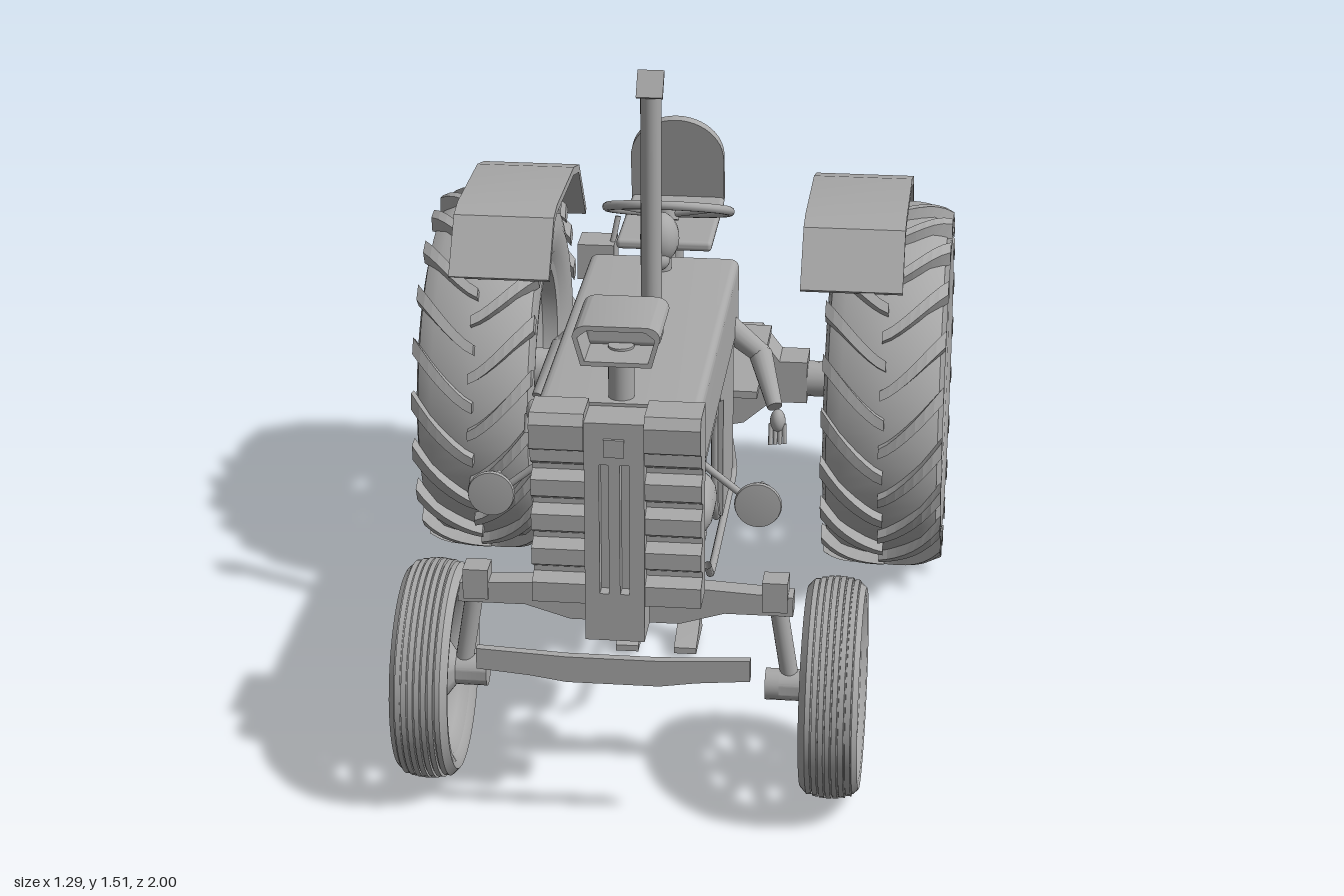
import * as THREE from 'three';
import { mergeGeometries, toCreasedNormals } from 'three/addons/utils/BufferGeometryUtils.js';
import { RoundedBoxGeometry } from 'three/addons/geometries/RoundedBoxGeometry.js';

const grey = new THREE.MeshStandardMaterial({ color: 0xa8a8a8, side: THREE.DoubleSide });
grey.name = 'grey';

const V = (p) => new THREE.Vector3(...p);
function add(parent, name, geo, pos = [0, 0, 0], rot = [0, 0, 0]) {
  const m = new THREE.Mesh(geo, grey);
  m.name = name;
  m.position.set(...pos);
  m.rotation.set(...rot);
  parent.add(m);
  return m;
}
function group(parent, name, pos = [0, 0, 0]) {
  const g = new THREE.Group();
  g.name = name;
  g.position.set(...pos);
  parent.add(g);
  return g;
}
// box given by its ranges on each axis
const box = (p, name, x, y, z) => add(p, name, new THREE.BoxGeometry(x[1] - x[0], y[1] - y[0], z[1] - z[0]),
  [(x[0] + x[1]) / 2, (y[0] + y[1]) / 2, (z[0] + z[1]) / 2]);
// cylinder or cone between two points
function rod(p, name, a, b, r1, r2 = r1, seg = 16) {
  const d = V(b).sub(V(a));
  const m = add(p, name, new THREE.CylinderGeometry(r2, r1, d.length(), seg), V(a).addScaledVector(d, 0.5).toArray());
  m.quaternion.setFromUnitVectors(new THREE.Vector3(0, 1, 0), d.normalize());
  return m;
}
const pipe = (p, name, pts, r) => add(p, name,
  new THREE.TubeGeometry(new THREE.CatmullRomCurve3(pts.map(V), false, 'catmullrom', 0.15), 40, r, 8));
const poly = (pts) => new THREE.Shape(pts.map(([x, y]) => new THREE.Vector2(x, y)));
const extrude = (shape, depth) => toCreasedNormals(
  new THREE.ExtrudeGeometry(shape, { depth, bevelEnabled: false, curveSegments: 12 }), 0.6);
// side profile of (z, y) points swept across x
const sweepX = (p, name, pts, x0, x1) => add(p, name, extrude(poly(pts), x1 - x0).rotateY(-Math.PI / 2), [x1, 0, 0]);
// profile of (radius, x) points spun about the x axis
const spin = (pts, seg = 48) => toCreasedNormals(
  new THREE.LatheGeometry(pts.map(([r, x]) => new THREE.Vector2(r, x)), seg).rotateZ(-Math.PI / 2), 0.7);
// flat wheel disc with window openings between the spokes
function spokedDisc(outer, rim, hub, n, depth, spoke) {
  const s = new THREE.Shape().absarc(0, 0, outer, 0, Math.PI * 2);
  for (let i = 0; i < n; i++) {
    const a = (i / n) * Math.PI * 2, w = Math.PI / n, h = new THREE.Path();
    h.absarc(0, 0, rim, a - w + spoke / rim, a + w - spoke / rim, false);
    h.absarc(0, 0, hub, a + w - spoke / hub, a - w + spoke / hub, true);
    h.closePath();
    s.holes.push(h);
  }
  return extrude(s, depth).rotateY(Math.PI / 2);
}

// curved tread bars of the big tyres
function treadLugs() {
  const list = [], n = 20;
  for (const side of [1, -1]) for (let i = 0; i < n; i++) {
    const g = new THREE.BoxGeometry(1, 1, 1, 7, 1, 1), p = g.attributes.position;
    const phase = ((i + (side > 0 ? 0 : 0.5)) / n) * Math.PI * 2;
    for (let k = 0; k < p.count; k++) {
      const t = 0.5 + side * p.getX(k);
      const r = p.getY(k) > 0 ? 0.46 - 0.025 * t ** 4 : 0.425 - 0.03 * t ** 3;
      const a = phase - 0.33 * t ** 1.3 + p.getZ(k) * (0.055 + 0.04 * t);
      p.setXYZ(k, side * (-0.006 + 0.153 * t), r * Math.cos(a), r * Math.sin(a));
    }
    const flat = g.toNonIndexed();
    flat.computeVertexNormals();
    list.push(flat);
  }
  return mergeGeometries(list);
}

function rearWheel(root, s, lugs) {
  const w = group(root, s > 0 ? 'rearWheelLeft' : 'rearWheelRight', [s * 0.5, 0.46, -0.54]);
  add(w, 'rearTyre', spin([[0.268, -0.115], [0.3, -0.138], [0.36, -0.146], [0.405, -0.135], [0.428, -0.1], [0.436, 0],
    [0.428, 0.1], [0.405, 0.135], [0.36, 0.146], [0.3, 0.138], [0.268, 0.115]], 64));
  add(w, 'treadLugs', lugs);
  const rim = group(w, 'rearRim');
  rim.rotation.y = s > 0 ? 0 : Math.PI;
  add(rim, 'rimBarrel', spin([[0.285, -0.125], [0.262, -0.118], [0.255, -0.08], [0.225, -0.06], [0.212, 0],
    [0.225, 0.055], [0.255, 0.075], [0.262, 0.118], [0.285, 0.125]]));
  add(rim, 'rimDisc', spokedDisc(0.215, 0.142, 0.085, 6, 0.022, 0.016), [-0.02, 0, 0]);
  add(rim, 'discRing', spin([[0.185, 0], [0.185, 0.025], [0.15, 0.03], [0.142, 0]]));
  add(rim, 'rearHub', spin([[0, -0.15], [0.05, -0.15], [0.06, -0.02], [0.085, -0.02], [0.085, 0.02], [0.05, 0.03],
    [0.045, 0.06], [0, 0.06]], 24));
  for (let i = 0; i < 6; i++) {
    const a = (i / 6) * Math.PI * 2;
    rod(rim, 'wheelBolt', [0.015, Math.cos(a) * 0.068, Math.sin(a) * 0.068], [0.033, Math.cos(a) * 0.068, Math.sin(a) * 0.068], 0.009, 0.009, 6);
  }
}

function frontWheel(root, s) {
  const w = group(root, s > 0 ? 'frontWheelLeft' : 'frontWheelRight', [s * 0.445, 0.263, 0.758]);
  w.rotation.y = s > 0 ? 0 : Math.PI;
  // ribbed tread
  const tread = [];
  for (let i = -3; i <= 3; i++) {
    const x = i * 0.0145, r = 0.245 - 0.0008 * i * i;
    tread.push([r, x - 0.0055], [r, x + 0.0055], [r - 0.005, x + 0.006], [r - 0.005, x + 0.0085]);
  }
  add(w, 'frontTyre', spin([[0.19, -0.05], [0.205, -0.062], [0.222, -0.064], ...tread,
    [0.222, 0.064], [0.205, 0.062], [0.19, 0.05]], 56));
  add(w, 'frontRim', spin([[0.2, -0.052], [0.188, -0.05], [0.168, -0.03], [0.162, 0], [0.168, 0.025], [0.188, 0.05], [0.2, 0.052]]));
  add(w, 'frontSpokes', spokedDisc(0.168, 0.158, 0.075, 8, 0.022, 0.014), [0.0, 0, 0]);
  add(w, 'frontHub', spin([[0, -0.12], [0.035, -0.12], [0.035, -0.05], [0.075, -0.02], [0.08, 0.035], [0.068, 0.043], [0, 0.045]], 24));
}

function addMannequin(root) {
  const m = group(root, 'mannequin', [-0.018, 0, 0]);
  const ball = (name, p, r, sc = [1, 1, 1]) => add(m, name, new THREE.SphereGeometry(r, 20, 14), p).scale.set(...sc);
  ball('head', [0, 1.045, 0.055], 0.056, [0.82, 1.08, 0.95]);
  ball('jaw', [0, 1.0, 0.078], 0.03, [0.9, 0.9, 1]);
  rod(m, 'neck', [0, 0.9, 0.03], [0, 1.02, 0.045], 0.026);
  ball('chest', [0, 0.81, 0.025], 0.1, [1.05, 1.05, 0.55]);
  ball('waist', [0, 0.69, 0.025], 0.075, [1, 1.1, 0.6]);
  ball('pelvis', [0, 0.6, 0.03], 0.085, [1.1, 0.8, 0.6]);
  for (const s of [1, -1]) {
    const at = (x, y, z) => [s * x, y, z];
    rod(m, 'upperArm', at(0.12, 0.85, 0.03), at(0.23, 0.755, 0.02), 0.034, 0.025);
    ball('elbow', at(0.235, 0.75, 0.02), 0.026);
    rod(m, 'forearm', at(0.235, 0.75, 0.02), at(0.278, 0.66, 0.125), 0.028, 0.018);
    ball('hand', at(0.287, 0.635, 0.15), 0.026, [0.7, 1.1, 0.9]);
    for (let i = 0; i < 4; i++) rod(m, 'finger', at(0.272 + i * 0.01, 0.63, 0.155), at(0.272 + i * 0.011, 0.585, 0.178 - i * 0.004), 0.006, 0.005, 8);
    rod(m, 'thigh', at(0.07, 0.6, 0.045), at(0.07, 0.335, 0.05), 0.048, 0.032);
    ball('knee', at(0.07, 0.325, 0.05), 0.034);
    add(m, 'shin', new THREE.LatheGeometry([[0.021, 0.06], [0.023, 0.1], [0.033, 0.2], [0.036, 0.25], [0.03, 0.31]]
      .map(([r, y]) => new THREE.Vector2(r, y)), 16), at(0.07, 0, 0.03));
    ball('ankle', at(0.07, 0.06, 0.03), 0.024);
    sweepX(m, 'foot', [[-0.005, 0.015], [0.145, 0.015], [0.145, 0.03], [0.08, 0.048], [0.045, 0.068], [0, 0.06]], s * 0.07 - 0.027, s * 0.07 + 0.027);
  }
}

export function createModel() {
  const root = new THREE.Group();
  root.name = 'tractor';
  const lugs = treadLugs();
  for (const s of [1, -1]) { rearWheel(root, s, lugs); frontWheel(root, s); }
  addMannequin(root);
  const body = group(root, 'body', [-0.016, 0, 0]);

  // hood and side panels
  const hood = new THREE.Shape();
  hood.moveTo(-0.178, 0.8).lineTo(0.175, 0.8).lineTo(0.175, 0.94).quadraticCurveTo(0.175, 0.962, 0.15, 0.962);
  hood.lineTo(-0.153, 0.962).quadraticCurveTo(-0.178, 0.962, -0.178, 0.94);
  add(body, 'hood', extrude(hood, 0.9), [0, 0, -0.04]);
  sweepX(body, 'rightSidePanel', [[0.05, 0.8], [0.74, 0.8], [0.82, 0.51], [0.55, 0.47], [0.5, 0.42], [0.1, 0.44], [0.05, 0.5]], -0.176, -0.164);
  sweepX(body, 'leftSidePanel', [[0.05, 0.8], [0.4, 0.8], [0.37, 0.77], [0.31, 0.75], [0.31, 0.46], [0.08, 0.46], [0.05, 0.49]], 0.16, 0.172);
  box(body, 'engineBlock', [-0.1, 0.08], [0.45, 0.8], [0.12, 0.55]);
  box(body, 'dashboard', [-0.08, 0.08], [0.6, 0.93], [-0.06, -0.03]);
  box(body, 'gearHousing', [-0.06, 0.06], [0.46, 0.58], [-0.5, 0.12]);
  rod(body, 'frontStrut', [0, 0.47, 0.9], [0, 0.47, 0.5], 0.04);

  // radiator grille with louvred cheeks and a slotted centre column
  const cheek = [[0.86, 0.53], [0.945, 0.53]];
  for (const y of [0.6, 0.68, 0.76, 0.84]) cheek.push([0.945, y - 0.025], [0.912, y - 0.012], [0.912, y], [0.945, y + 0.018]);
  cheek.push([0.945, 0.885], [0.965, 0.895], [0.967, 0.95], [0.95, 0.972], [0.86, 0.972]);
  sweepX(body, 'grilleCheek', cheek, -0.18, -0.064);
  sweepX(body, 'grilleCheek', cheek, 0.064, 0.184);
  const column = poly([[-0.064, 0.45], [0.064, 0.45], [0.064, 0.955], [-0.064, 0.955]]);
  for (const x of [-0.022, 0.022]) column.holes.push(poly([[x - 0.01, 0.56], [x - 0.01, 0.86], [x + 0.01, 0.86], [x + 0.01, 0.56]]));
  add(body, 'grilleColumn', extrude(column, 0.03), [0, 0, 0.925]);
  box(body, 'grilleBack', [-0.064, 0.064], [0.45, 0.955], [0.86, 0.925]);
  box(body, 'grillePlate', [-0.022, 0.022], [0.88, 0.92], [0.95, 0.962]);

  // exhaust stack with tilted flap
  rod(body, 'exhaustPipe', [0, 0.95, 0.248], [0, 1.462, 0.248], 0.024);
  add(body, 'exhaustFlap', new THREE.BoxGeometry(0.06, 0.008, 0.065), [0, 1.481, 0.262], [0.95, 0, 0]);

  // air intake, a hollow hood open to the front
  rod(body, 'intakeStem', [0, 0.95, 0.818], [0, 1.08, 0.818], 0.028);
  const intake = new THREE.Shape();
  intake.moveTo(-0.075, 1.065).lineTo(0.075, 1.065).lineTo(0.093, 1.13).quadraticCurveTo(0.09, 1.152, 0.065, 1.155);
  intake.lineTo(-0.065, 1.155).quadraticCurveTo(-0.09, 1.152, -0.093, 1.13);
  intake.holes.push(poly([[-0.067, 1.075], [-0.082, 1.128], [-0.062, 1.144], [0.062, 1.144], [0.082, 1.128], [0.067, 1.075]]));
  add(body, 'intakeHood', extrude(intake, 0.185), [0, 0, 0.725]);
  add(body, 'intakeBack', new RoundedBoxGeometry(0.165, 0.08, 0.08, 3, 0.015), [0, 1.11, 0.77]);

  // engine parts on the open side
  const capsule = (name, r, len, y, z, x) => add(body, name, new THREE.CapsuleGeometry(r, len, 8, 18), [x, y, z], [Math.PI / 2, 0, 0]);
  capsule('airTank', 0.066, 0.08, 0.59, 0.535, 0.11);
  capsule('oilFilter', 0.03, 0.11, 0.485, 0.52, 0.12);
  for (const d of [0, 0.022]) {
    pipe(body, 'sidePipe', [[0.15, 0.51, 0.82 - d], [0.155, 0.76 - d, 0.745 - d], [0.16, 0.78 - d, 0.7], [0.16, 0.78 - d, 0.4 + d],
      [0.16, 0.72, 0.375 + d], [0.16, 0.52, 0.36 + d], [0.16, 0.47, 0.32 + d]], 0.008);
  }
  pipe(body, 'footRail', [[0.165, 0.47, 0.6], [0.165, 0.415, 0.53], [0.165, 0.41, 0.4], [0.165, 0.41, 0], [0.165, 0.425, -0.05], [0.15, 0.52, -0.06]], 0.009);

  // front axle, steering knuckles, lamps and bumper
  const axle = poly([[-0.37, 0.44], [-0.22, 0.44], [-0.12, 0.41], [0.12, 0.41], [0.22, 0.44], [0.37, 0.44], [0.37, 0.485], [0.1, 0.5], [-0.1, 0.5], [-0.37, 0.485]]);
  add(body, 'frontAxle', extrude(axle, 0.05), [0, 0, 0.73]);
  for (const s of [1, -1]) {
    box(body, 'knuckle', [s * 0.33 - 0.028, s * 0.33 + 0.028], [0.45, 0.52], [0.725, 0.785]);
    rod(body, 'kingpin', [s * 0.335, 0.46, 0.756], [s * 0.365, 0.27, 0.756], 0.02);
    rod(body, 'spindle', [s * 0.31, 0.263, 0.758], [s * 0.4, 0.263, 0.758], 0.035);
    const lamp = spin([[0, -0.045], [0.02, -0.042], [0.042, -0.02], [0.052, 0.005], [0.05, 0.012], [0, 0.016]], 24).rotateY(-Math.PI / 2);
    add(body, 'headlamp', lamp, [s * 0.291, 0.705, 0.775]);
    rod(body, 'lampPin', [s * 0.291, 0.705, 0.75], [s * 0.291, 0.705, 0.67], 0.006);
    rod(body, 'lampBracket', [s * 0.29, 0.69, 0.76], [s * 0.165, 0.79, 0.76], 0.008);
  }
  const bumper = poly([[-0.295, 0.39], [-0.18, 0.38], [-0.1, 0.368], [0.1, 0.368], [0.18, 0.38], [0.295, 0.39], [0.295, 0.438], [0.1, 0.428], [-0.1, 0.428], [-0.295, 0.438]]);
  add(body, 'bumper', extrude(bumper, 0.02), [0, 0, 0.98]);

  // rear axle beam, driver platform and fenders
  const beam = poly([[-0.31, 0.41], [-0.22, 0.41], [-0.15, 0.35], [-0.05, 0.33], [0.05, 0.33], [0.15, 0.35], [0.22, 0.41], [0.31, 0.41],
    [0.31, 0.52], [0.24, 0.52], [0.19, 0.585], [-0.19, 0.585], [-0.24, 0.52], [-0.31, 0.52]]);
  add(body, 'rearAxleBeam', extrude(beam, 0.1), [0, 0, -0.6]);
  rod(root, 'rearAxleShaft', [-0.48, 0.46, -0.545], [0.48, 0.46, -0.545], 0.045);
  box(body, 'platform', [-0.225, 0.217], [0.588, 0.606], [-0.53, -0.09]);
  const fender = [[-0.24, 0.815], [-0.34, 0.94], [-0.4, 0.953], [-0.71, 0.946], [-0.815, 0.918], [-0.945, 0.752],
    [-0.93, 0.742], [-0.805, 0.9], [-0.705, 0.926], [-0.4, 0.933], [-0.35, 0.921], [-0.255, 0.805]];
  for (const s of [1, -1]) sweepX(body, 'fender', fender, s * 0.43 - 0.124, s * 0.43 + 0.124);

  // seat on two posts, with a round-topped backrest
  const seat = group(root, 'seat', [-0.035, 0, 0]);
  add(seat, 'seatCushion', new RoundedBoxGeometry(0.23, 0.025, 0.34, 3, 0.01), [0, 0.935, -0.355]);
  const back = new THREE.Shape();
  back.moveTo(-0.115, 0).lineTo(0.115, 0).lineTo(0.115, 0.12).absellipse(0, 0.12, 0.115, 0.105, 0, Math.PI, false);
  add(seat, 'backrest', extrude(back, 0.024), [0, 0.94, -0.54], [0.18, 0, 0]);
  for (const z of [-0.28, -0.45]) rod(seat, 'seatPost', [0, 0.6, z], [0, 0.93, z], 0.02);

  // lever box beside the seat
  box(body, 'leverBox', [-0.25, -0.16], [0.78, 0.87], [-0.44, -0.35]);
  rod(body, 'leverStand', [-0.19, 0.6, -0.4], [-0.19, 0.79, -0.4], 0.012);
  rod(body, 'lever', [-0.17, 0.85, -0.38], [-0.155, 0.93, -0.4], 0.007);

  // steering wheel and column
  const steer = group(root, 'steeringWheel', [-0.02, 1.04, -0.155]);
  steer.rotation.x = -0.4;
  add(steer, 'steeringRim', new THREE.TorusGeometry(0.147, 0.011, 10, 40), [0, 0, 0], [Math.PI / 2, 0, 0]);
  for (let i = 0; i < 3; i++) {
    const a = (i / 3) * Math.PI * 2 + Math.PI;
    rod(steer, 'steeringSpoke', [0, -0.012, 0], [Math.sin(a) * 0.145, 0, Math.cos(a) * 0.145], 0.009, 0.007, 8);
  }
  rod(steer, 'steeringHub', [0, -0.025, 0], [0, 0.01, 0], 0.026);
  rod(root, 'steeringColumn', [-0.02, 1.03, -0.15], [-0.02, 0.83, -0.05], 0.014);
  return root;
}
